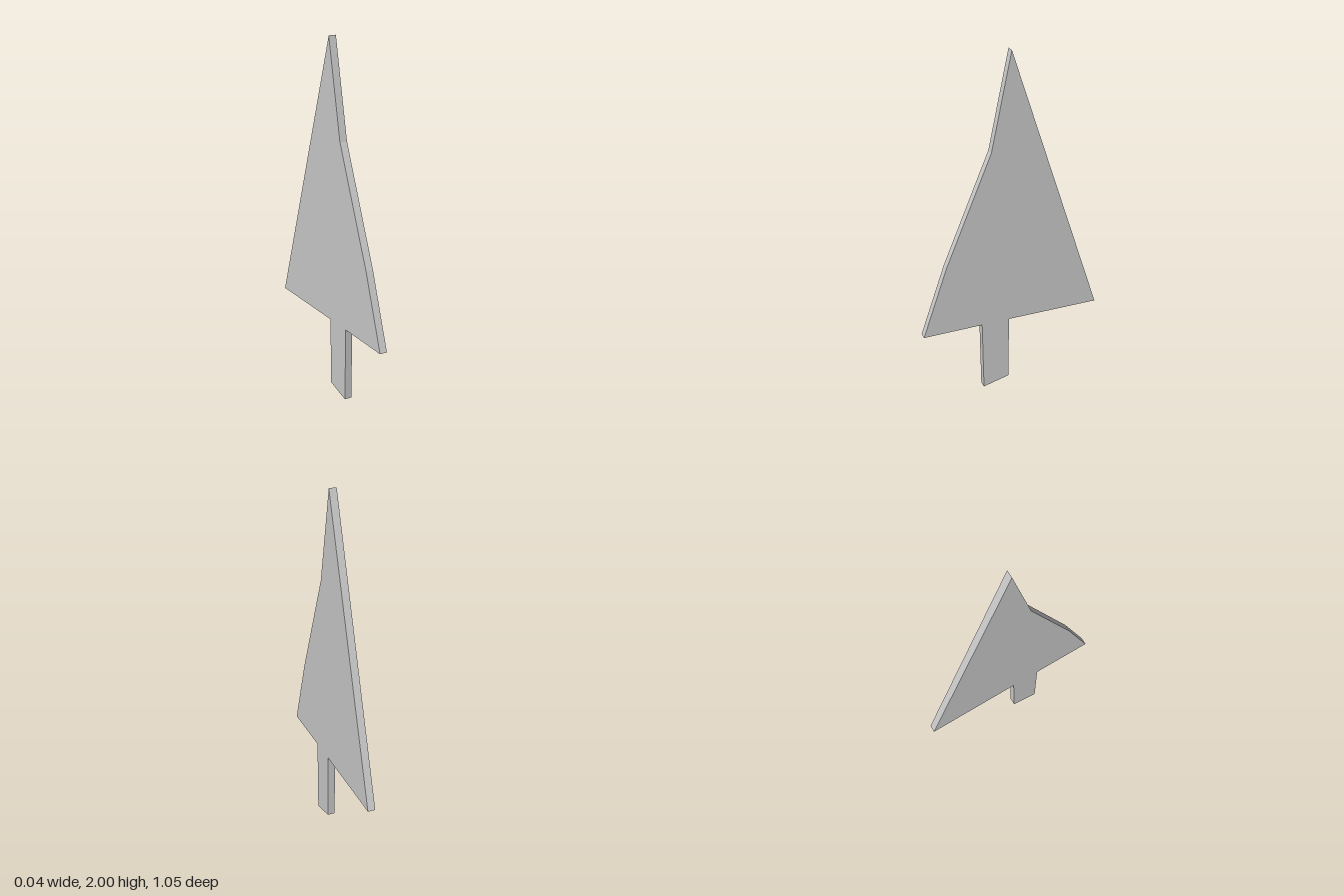
import * as THREE from 'three';

const THICKNESS = 0.042;

// Outline of the flat tree as [z, y] points, counter-clockwise from the tip
const OUTLINE = [
  [0.004, 2], [0.118, 1.47], [0.384, 0.845], [0.528, 0.438], // front slope
  [0.185, 0.431], [0.18, 0], [0.026, 0.035], [0.021, 0.428], // trunk
  [-0.526, 0.413], // back corner
];

export function createModel() {
  const group = new THREE.Group();
  group.name = 'flatTree';

  // Crown and trunk are one cut-out slab, extruded and turned to lie along z
  const shape = new THREE.Shape(OUTLINE.map(([z, y]) => new THREE.Vector2(z, y)));
  const geometry = new THREE.ExtrudeGeometry(shape, { depth: THICKNESS, bevelEnabled: false });
  geometry.translate(0, 0, -THICKNESS / 2);
  geometry.rotateY(-Math.PI / 2);

  const material = new THREE.MeshStandardMaterial({ color: 0xcccccc, flatShading: true });
  const tree = new THREE.Mesh(geometry, material);
  tree.name = 'treeCutout';
  group.add(tree);

  return group;
}
